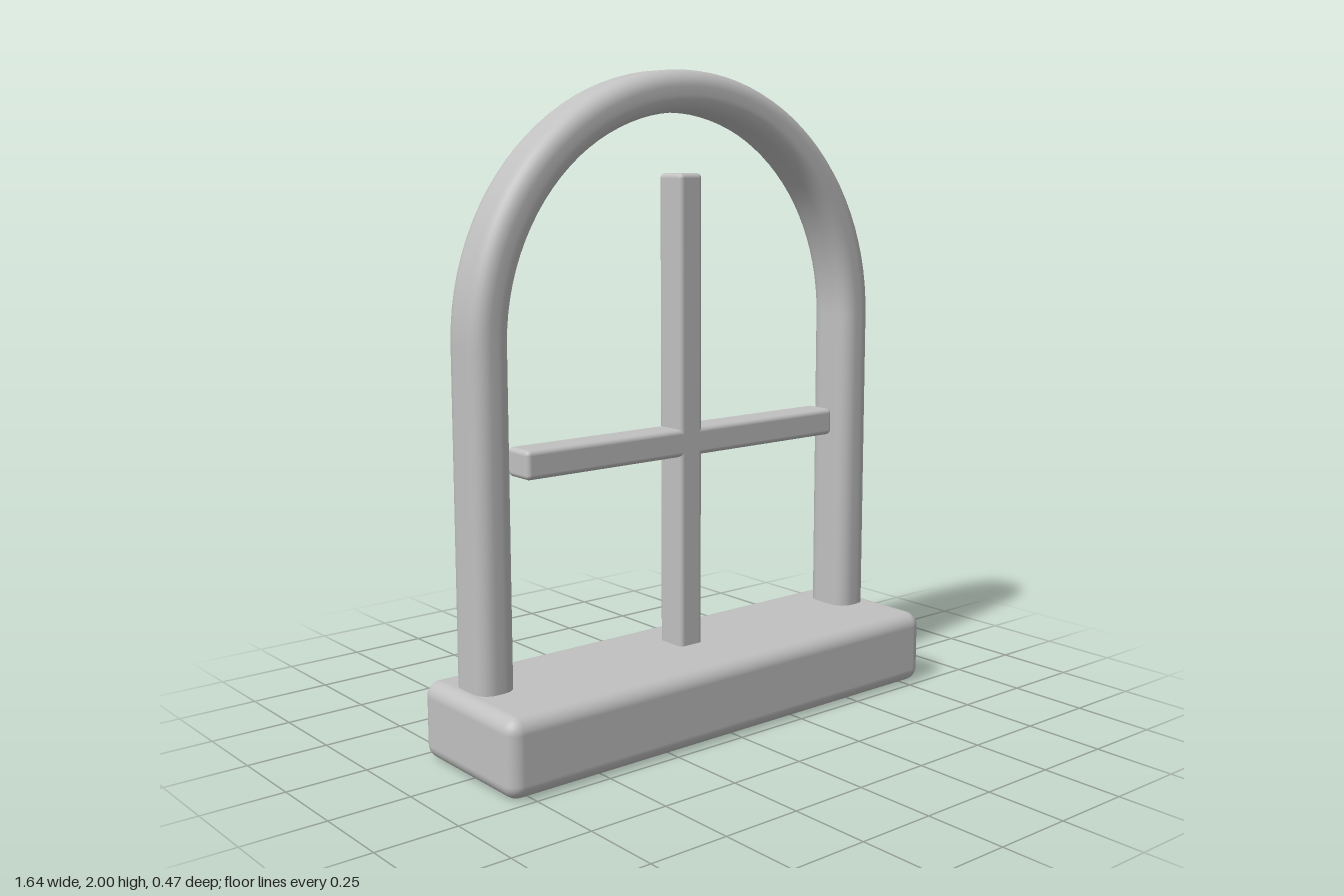
import * as THREE from 'three';
import { RoundedBoxGeometry } from 'three/addons/geometries/RoundedBoxGeometry.js';

const grey = new THREE.MeshStandardMaterial({ color: 0xc0c0c0 });
grey.name = 'plain grey';

// Softly rounded bar or block
function block(name, w, h, d, r, x, y, z) {
  const mesh = new THREE.Mesh(new RoundedBoxGeometry(w, h, d, 4, r), grey);
  mesh.name = name;
  mesh.position.set(x, y, z);
  return mesh;
}

// Rounded rectangle loop: [outward offset, z offset]
function roundedProfile(w, d, r, steps) {
  const loop = [];
  const corners = [[1, 1], [-1, 1], [-1, -1], [1, -1]];
  corners.forEach(([sx, sz], q) => {
    for (let i = 0; i <= steps; i++) {
      const a = (q + i / steps) * Math.PI / 2;
      loop.push([sx * (w / 2 - r) + r * Math.cos(a), sz * (d / 2 - r) + r * Math.sin(a)]);
    }
  });
  return loop;
}

// Sweep the profile up one leg, over the half circle and down the other leg
function archGeometry(radius, springY, bottomY, profile) {
  const rings = [{ x: radius, y: bottomY, a: 0 }];
  const segments = 48;
  for (let i = 0; i <= segments; i++) {
    const a = Math.PI * i / segments;
    rings.push({ x: radius * Math.cos(a), y: springY + radius * Math.sin(a), a });
  }
  rings.push({ x: -radius, y: bottomY, a: Math.PI });

  const positions = [], index = [], n = profile.length;
  rings.forEach(({ x, y, a }, i) => {
    profile.forEach(([o, z], j) => {
      positions.push(x + o * Math.cos(a), y + o * Math.sin(a), z);
      if (i === rings.length - 1) return;
      const p = i * n + j, q = i * n + (j + 1) % n;
      index.push(p, p + n, q, q, p + n, q + n);
    });
  });
  const geometry = new THREE.BufferGeometry();
  geometry.setAttribute('position', new THREE.Float32BufferAttribute(positions, 3));
  geometry.setIndex(index);
  geometry.computeVertexNormals();
  return geometry;
}

export function createModel() {
  const model = new THREE.Group();
  model.name = 'archedWindow';

  // Heavy sill the frame stands on
  model.add(block('sill', 1.645, 0.235, 0.47, 0.045, 0, 0.1175, 0));

  // Arched frame, with leg ends sunk into the sill
  const frame = new THREE.Mesh(
    archGeometry(0.7125, 1.225, 0.12, roundedProfile(0.125, 0.165, 0.05, 6)), grey);
  frame.name = 'archedFrame';
  frame.position.z = -0.06;
  model.add(frame);

  // Crossing glazing bars
  model.add(block('verticalBar', 0.088, 1.545, 0.105, 0.015, 0, 0.9225, -0.04));
  model.add(block('horizontalBar', 1.21, 0.086, 0.105, 0.015, 0, 0.878, -0.04));

  return model;
}
